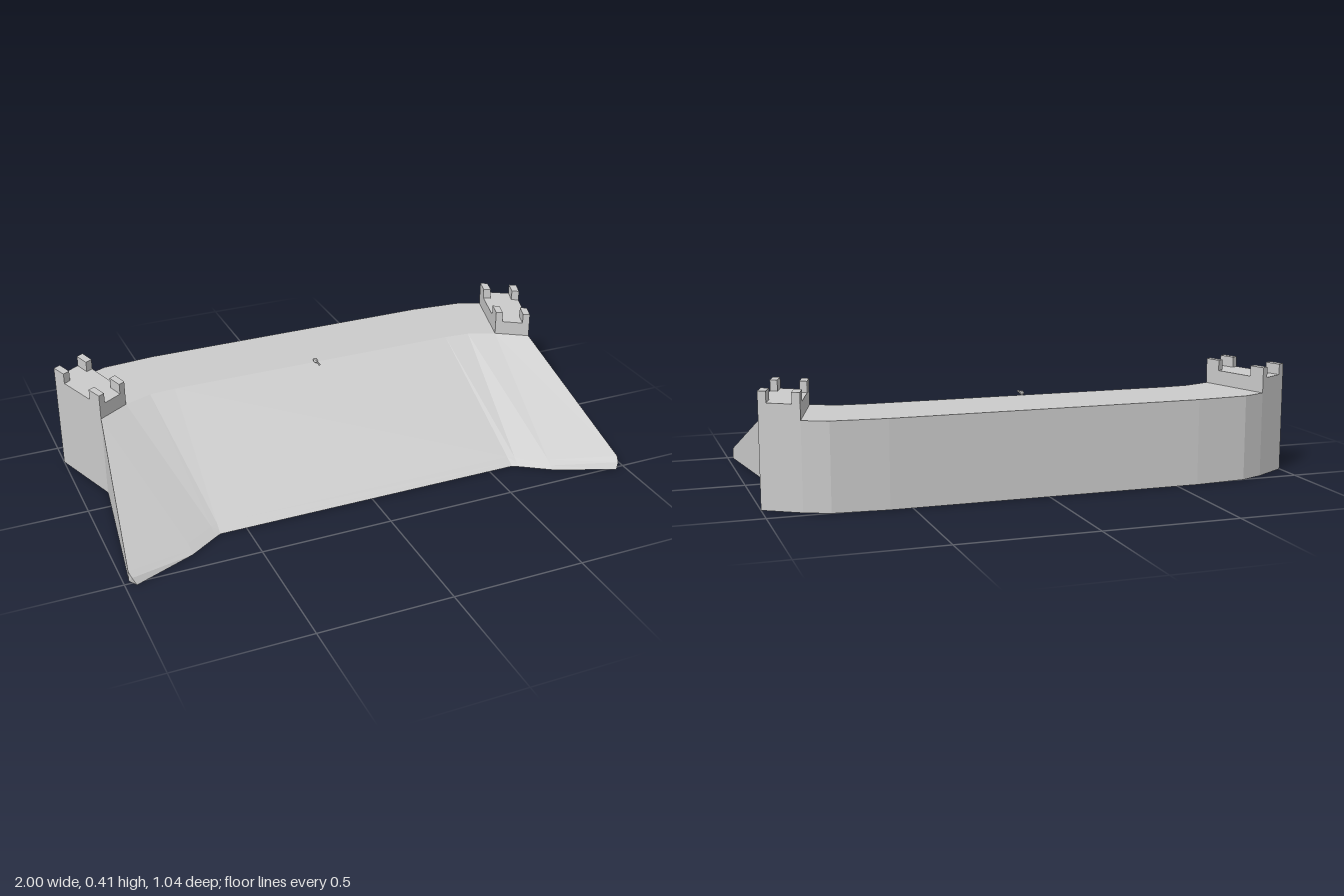
import * as THREE from 'three';

const mat = new THREE.MeshStandardMaterial({ color: 0xcccccc, flatShading: true });
const TOP = 0.318;

// Plan stations from the end to the middle: [x, z] of back edge, crest edge and foot
const STATIONS = [
  { back: [1, -0.385], crest: [0.9, -0.097], foot: [0.96, 0.517] },
  { back: [0.87, -0.465], crest: [0.785, -0.172], foot: [0.73, 0.42] },
  { back: [0.78, -0.503], crest: [0.68, -0.212], foot: [0.62, 0.347] },
  { back: [0.58, -0.52], crest: [0.58, -0.22], foot: [0.6, 0.335] },
];

// Closed cross-section of the bank at one station
function section({ back, crest, foot }, end, s) {
  const p = ([x, z], y) => new THREE.Vector3(s * x, y, z);
  const top = p(crest, TOP), toe = p(foot, 0);
  const lip = end ? p([0.98, 0.485], 0.04) : top.clone().lerp(toe, 0.93);
  const nose = end ? p([0.973, 0.506], 0.025) : top.clone().lerp(toe, 0.97);
  const lipBase = lip.clone().setY(0);
  return [p(back, 0), p(back, TOP), top, lip, nose, toe, lipBase, p(crest, 0)];
}

function bankGeometry() {
  const rows = [
    ...STATIONS.map((st, i) => section(st, i === 0, -1)),
    ...STATIONS.map((st, i) => section(st, i === 0, 1)).reverse(),
  ];
  const pos = [];
  const face = (...v) => {
    for (let i = 1; i < v.length - 1; i++) {
      for (const q of [v[0], v[i], v[i + 1]]) pos.push(q.x, q.y, q.z);
    }
  };
  for (let i = 0; i < rows.length - 1; i++) {
    for (let j = 0; j < 8; j++) {
      const k = (j + 1) % 8;
      face(rows[i][j], rows[i][k], rows[i + 1][k], rows[i + 1][j]);
    }
  }
  // End walls, folded at the crest
  for (const f of [[0, 1, 2, 7], [7, 2, 3, 6], [3, 4, 5, 6]]) {
    face(...f.map((j) => rows[rows.length - 1][j]));
    face(...f.map((j) => rows[0][j]).reverse());
  }
  const g = new THREE.BufferGeometry();
  g.setAttribute('position', new THREE.Float32BufferAttribute(pos, 3));
  g.computeVertexNormals();
  return g;
}

// Upright prism over a plan polygon of [x, z] corners
function prism(name, plan, y0, y1) {
  const shape = new THREE.Shape(plan.map(([x, z]) => new THREE.Vector2(x, -z)));
  const g = new THREE.ExtrudeGeometry(shape, { depth: y1 - y0, bevelEnabled: false });
  g.rotateX(-Math.PI / 2).translate(0, y0, 0);
  const m = new THREE.Mesh(g, mat);
  m.name = name;
  return m;
}

// Raised end platform with a merlon at each corner
function endPlatform(s) {
  const group = new THREE.Group();
  group.name = s > 0 ? 'leftPlatform' : 'rightPlatform';
  const [a, b] = STATIONS;
  const mix = (p, q, t) => [p[0] + (q[0] - p[0]) * t, p[1] + (q[1] - p[1]) * t];
  // u runs from outer to inner side, v from back to front
  const at = (u, v) => {
    const [x, z] = mix(mix(a.back, b.back, u), mix(a.crest, b.crest, u), v);
    return [s * x, z];
  };
  const patch = (u0, u1, v0, v1) => [at(u0, v0), at(u1, v0), at(u1, v1), at(u0, v1)];
  group.add(prism('platformBase', patch(0, 1, 0, 1), 0.3, 0.373));
  for (const [u0, u1] of [[0, 0.2], [0.8, 1]]) {
    for (const [v0, v1] of [[0, 0.22], [0.78, 1]]) {
      group.add(prism('merlon', patch(u0, u1, v0, v1), 0.365, 0.413));
    }
  }
  return group;
}

export function createModel() {
  const model = new THREE.Group();
  model.name = 'rampart';

  const bank = new THREE.Mesh(bankGeometry(), mat);
  bank.name = 'slopedBank';
  model.add(bank, endPlatform(1), endPlatform(-1));

  // Small peg lying on the crest, thick end to the back
  const profile = [[0, 0], [0.007, 0.004], [0.009, 0.014], [0.006, 0.026], [0.004, 0.03], [0.004, 0.055], [0, 0.056]];
  const pegGeo = new THREE.LatheGeometry(profile.map(([r, h]) => new THREE.Vector2(r, h)), 10);
  const peg = new THREE.Mesh(pegGeo, mat);
  peg.name = 'crestPeg';
  peg.rotation.x = Math.PI / 2;
  peg.position.set(0, 0.326, -0.231);
  model.add(peg);

  return model;
}
